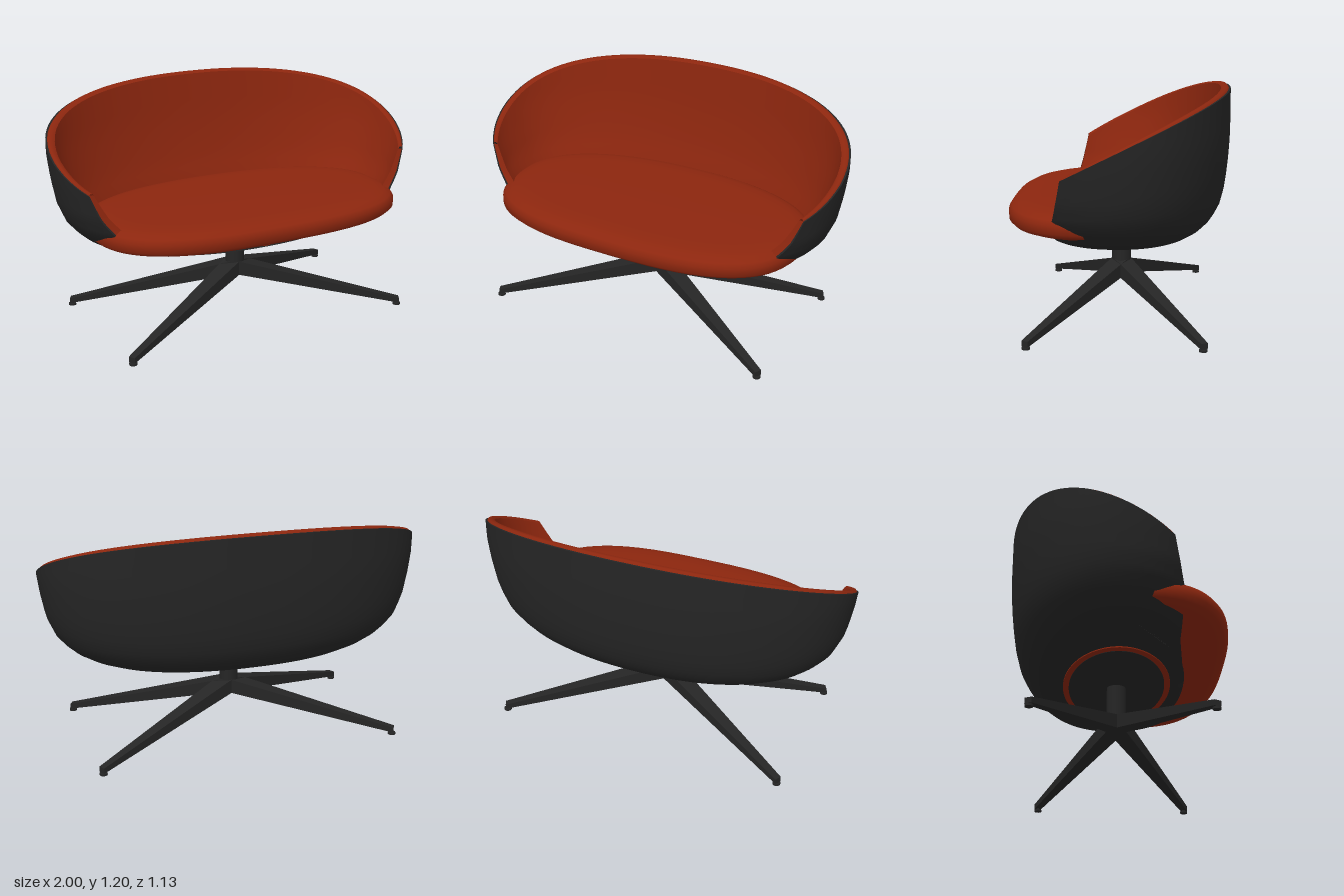
import * as THREE from 'three';

const upholstery = new THREE.MeshStandardMaterial({ color: 0x8c260e, side: THREE.DoubleSide });
upholstery.name = 'rust red upholstery';
const charcoal = new THREE.MeshStandardMaterial({ color: 0x252525, side: THREE.DoubleSide });
charcoal.name = 'charcoal';

// Smooth surface through equally long rows of points
function grid(rows) {
  const n = rows[0].length, index = [];
  for (let i = 0; i < rows.length - 1; i++) {
    for (let j = 0; j < n - 1; j++) {
      const a = i * n + j, b = a + n;
      index.push(a, b, a + 1, b, b + 1, a + 1);
    }
  }
  const g = new THREE.BufferGeometry().setFromPoints(rows.flat());
  g.setIndex(index);
  g.computeVertexNormals();
  return g;
}

function add(parent, name, geometry, material) {
  const mesh = new THREE.Mesh(geometry, material);
  mesh.name = name;
  parent.add(mesh);
  return mesh;
}

const lerp = THREE.MathUtils.lerp;
const bend = (t, n) => Math.sign(t) * Math.abs(t) ** (2 / n);

// Tub section: plan scale and height, from the floor centre up to the arms
const LOWER = [[0, 0.438], [0.3, 0.438], [0.44, 0.438], [0.55, 0.443], [0.62, 0.45],
  [0.71, 0.468], [0.78, 0.495], [0.84, 0.53], [0.88, 0.565], [0.92, 0.61]];
const UPPER = [[0.92, 0.61], [0.96, 0.7], [0.985, 0.83], [1, 0.95], [1, 1.3]];
const UPPER_STEPS = 8, ROWS = LOWER.length + UPPER_STEPS, TOP = ROWS - 1;
const HALF_W = 1, HALF_D = 0.565, POWER = 2.2;

function wallScale(y) {
  for (let i = 1; i < UPPER.length; i++) {
    const [s0, y0] = UPPER[i - 1], [s1, y1] = UPPER[i];
    if (y <= y1) return lerp(s0, s1, (y - y0) / (y1 - y0));
  }
  return 1;
}
const rimHeight = (z) => 0.95 - 0.49 * z - 0.12 * z * z;

// u runs round the tub from arm to arm (-1..1), k from outer skin (0) to lining (1)
function tubPoint(row, u, k, lift = 0) {
  const w = Math.max(0, (row - LOWER.length + 1) / UPPER_STEPS);
  const low = LOWER[Math.min(row, LOWER.length - 1)];
  const frontScale = w > 0 ? wallScale(lerp(0.61, 0.82, w)) : low[0];
  const frontZ = lerp(0.29, 0.24, w);
  const open = frontScale <= 0.62 ? Math.PI / 2
    : Math.asin((frontZ / (HALF_D * frontScale)) ** (POWER / 2));
  const angle = -Math.PI / 2 + u * (Math.PI / 2 + open);
  const c = bend(Math.cos(angle), POWER), sn = bend(Math.sin(angle), POWER);
  let s = low[0], y = low[1];
  if (w > 0) {
    y = lerp(0.61, rimHeight(HALF_D * sn), w);
    s = wallScale(y);
  }
  const full = w > 0 ? lerp(0.12, 0.05, w) : lerp(0.05, 0.12, (y - 0.438) / 0.172);
  const d = k * full * Math.min(1, s / 0.6) * (1 - 0.4 * u ** 4);
  const floorLift = w > 0 ? 0 : 0.02 * k * (0.61 - y) / 0.172;
  return new THREE.Vector3((HALF_W * s - d) * c,
    y + floorLift + lift, (HALF_D * s - (sn > 0 ? 0.3 : 1) * d) * sn);
}

const COLS = 72;
const tubRow = (row, k, lift) =>
  Array.from({ length: COLS + 1 }, (_, j) => tubPoint(row, (j / COLS) * 2 - 1, k, lift));
const allRows = Array.from({ length: ROWS }, (_, i) => i);

function buildTub() {
  const tub = new THREE.Group();
  tub.name = 'tub';
  const skin = 0.2;
  add(tub, 'outerShell', grid(allRows.map((r) => tubRow(r, 0))), charcoal);
  add(tub, 'shellRim', grid([tubRow(TOP, 0), tubRow(TOP, skin)]), charcoal);
  add(tub, 'lining', grid(allRows.map((r) => tubRow(r, 1))), upholstery);
  add(tub, 'liningRim', grid([tubRow(TOP, skin), tubRow(TOP, 0.35, 0.01),
    tubRow(TOP, 0.7, 0.01), tubRow(TOP, 1)]), upholstery);
  // Front ends of the arms
  for (const u of [-1, 1]) {
    const strip = (k0, k1) => grid(allRows.slice(4).map((r) =>
      [tubPoint(r, u, k0), tubPoint(r, u, k1)]));
    add(tub, 'shellArmEdge', strip(0, skin), charcoal);
    add(tub, 'liningArmEdge', strip(skin, 1), upholstery);
  }
  return tub;
}

// Cushion: rounded slab, deeper and squarer at the front
function buildSeat() {
  const section = [[0.8, 0.657], [0.4, 0.657], [0.16, 0.653], [0.09, 0.649], [0.045, 0.638],
    [0.015, 0.622], [0, 0.6], [0, 0.56], [0.02, 0.54], [0.06, 0.526], [0.14, 0.521], [0.8, 0.521]];
  return grid(section.map(([inset, y]) => Array.from({ length: 73 }, (_, j) => {
    const a = (j / 72) * Math.PI * 2, front = Math.sin(a) > 0;
    const n = front ? 2.8 : 2.2;
    const rx = Math.max(0, 0.85 - inset), rz = Math.max(0, (front ? 0.515 : 0.46) - inset);
    return new THREE.Vector3(rx * bend(Math.cos(a), n), y, 0.05 + rz * bend(Math.sin(a), n));
  })));
}

// Tapered leg running from the hub to x = length
function buildLeg(length) {
  const g = new THREE.BoxGeometry(1, 1, 1);
  const p = g.attributes.position;
  for (let i = 0; i < p.count; i++) {
    const tip = p.getX(i) > 0, up = p.getY(i) > 0;
    p.setXYZ(i, tip ? length : 0,
      tip ? (up ? 0.042 : 0.014) : (up ? 0.272 : 0.195),
      p.getZ(i) * (tip ? 0.036 : 0.095));
  }
  g.computeVertexNormals();
  return g;
}

function buildBase() {
  const base = new THREE.Group();
  base.name = 'base';
  add(base, 'column', new THREE.CylinderGeometry(0.05, 0.05, 0.19, 32), charcoal).position.y = 0.35;
  const footX = 0.782, footZ = 0.418, length = Math.hypot(footX, footZ);
  for (const sx of [-1, 1]) {
    for (const sz of [-1, 1]) {
      const leg = new THREE.Group();
      leg.name = 'leg';
      leg.rotation.y = -Math.atan2(sz * footZ, sx * footX);
      add(leg, 'legBar', buildLeg(length + 0.01), charcoal);
      add(leg, 'footStem', new THREE.CylinderGeometry(0.01, 0.01, 0.02, 16), charcoal)
        .position.set(length, 0.015, 0);
      add(leg, 'footPad', new THREE.CylinderGeometry(0.02, 0.02, 0.01, 20), charcoal)
        .position.set(length, 0.005, 0);
      base.add(leg);
    }
  }
  // Oval mounting plate with a red border
  const oval = (name, a, b, y, material) => {
    const m = add(base, name, new THREE.CylinderGeometry(1, 1, 0.006, 64), material);
    m.scale.set(a, 1, b);
    m.position.y = y;
  };
  oval('plateBorder', 0.5, 0.28, 0.438, upholstery);
  oval('mountingPlate', 0.46, 0.25, 0.436, charcoal);
  return base;
}

export function createModel() {
  const model = new THREE.Group();
  model.name = 'swivelLoveseat';
  model.add(buildTub(), buildBase());
  add(model, 'seatCushion', buildSeat(), upholstery);
  return model;
}
